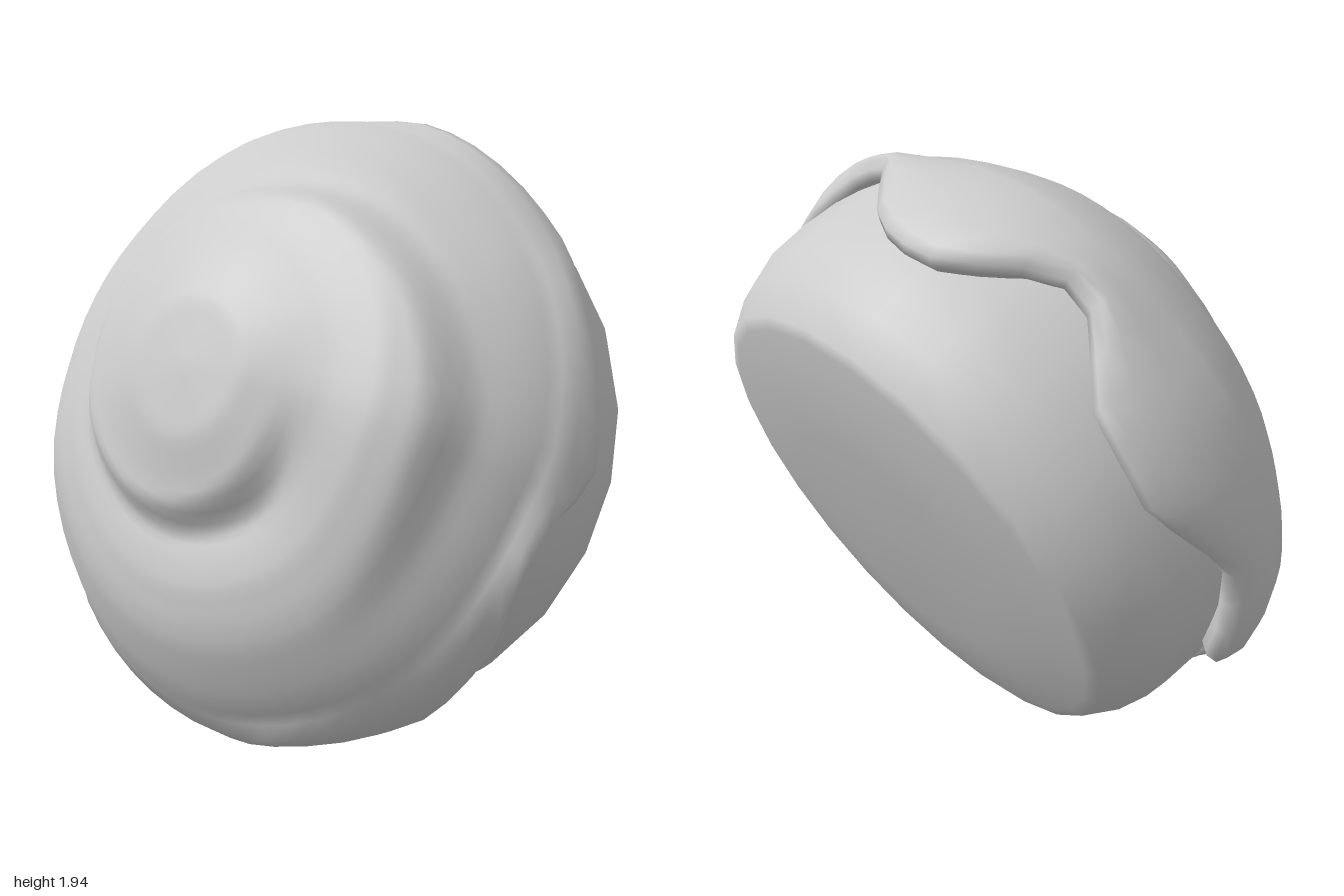
import * as THREE from 'three';

const SEG = 60;
const { lerp, smoothstep } = THREE.MathUtils;

// Interpolate through [position, value] pairs
function interp(points, t) {
  if (t <= points[0][0]) return points[0][1];
  for (let i = 1; i < points.length; i++) {
    const [a, va] = points[i - 1], [b, vb] = points[i];
    if (t <= b) return lerp(va, vb, (t - a) / (b - a));
  }
  return points[points.length - 1][1];
}

// Height of the wavy icing rim by angle in degrees
const RIM = [[0, -0.06], [10, -0.03], [20, 0], [29, 0.03], [41, -0.07], [55, 0], [64, 0.09], [77, 0.12],
  [90, -0.07], [99, -0.145], [110, -0.135], [124, 0.07], [131, 0.075], [145, -0.12], [163, -0.145], [185, 0.02],
  [205, -0.1], [218, 0], [228, 0.09], [245, 0], [258, -0.05], [268, -0.05], [276, 0.04], [284, 0.08], [291, 0],
  [298, -0.08], [306, -0.12], [325, -0.04], [337, 0.08], [345, 0.115], [356, -0.04], [360, -0.06]];

// Slightly uneven outline of the icing by angle
const OUTLINE = [[0, 0.995], [30, 0.99], [45, 0.98], [63, 0.99], [90, 1], [112, 1.025], [128, 1.02], [141, 1],
  [180, 0.995], [200, 1.02], [212, 1.01], [225, 1], [268, 1.015], [310, 1.005], [333, 0.975], [347, 0.97], [360, 0.995]];

// Dome height by radius, and radius of the swirl step by angle
const DOME = [[0, 0.65], [0.2, 0.64], [0.36, 0.585], [0.45, 0.56], [0.6, 0.535], [0.7, 0.49], [0.76, 0.45],
  [0.82, 0.39], [0.87, 0.335], [0.91, 0.285], [0.95, 0.22]];
const SWIRL = [[-45, 0.78], [0, 0.77], [35, 0.705], [80, 0.6], [121, 0.55], [172, 0.505], [257, 0.43], [334, 0.367]];

function swirlLift(deg, r) {
  const inside = (edge) => 1 - smoothstep(r, edge - 0.05, edge + 0.04);
  // The inner end fades out while the outer end fades in
  if (deg > 300) {
    const t = smoothstep(deg, 300, 360);
    return 0.085 * lerp(inside(interp(SWIRL, deg)), inside(interp(SWIRL, deg - 360)), t);
  }
  return 0.085 * inside(interp(SWIRL, deg));
}

// Dome surface, leaning a little to one side and upwards at the crown
function domeHeight(deg, r) {
  const a = THREE.MathUtils.degToRad(deg);
  const lean = 0.015 + 0.075 * (1 - smoothstep(r, 0.3, 0.55));
  return interp(DOME, r) + swirlLift(deg, r) + r * (lean * Math.sin(a) - 0.035 * Math.cos(a));
}

// Icing cap: rings from the tucked-under rim up to the crown
function icingGeometry() {
  const rings = 36, positions = [], index = [];
  const sections = [];
  for (let s = 0; s < SEG; s++) {
    const deg = s * 360 / SEG, rim = interp(RIM, deg);
    const section = [[0.86, rim + 0.06], [0.94, rim + 0.005], [0.975, rim + 0.01], [0.99, rim + 0.045],
      [1.005, rim * 0.6 + 0.085], [0.99, rim * 0.25 + 0.16]];
    for (let i = 0; i < rings; i++) {
      const r = 0.95 * (1 - i / rings);
      section.push([r, domeHeight(deg, r)]);
    }
    sections.push(section);
  }
  const count = sections[0].length;
  for (let k = 0; k < count; k++) {
    for (let s = 0; s < SEG; s++) {
      const a = s / SEG * Math.PI * 2, [r, h] = sections[s][k];
      const wide = r * interp(OUTLINE, s * 360 / SEG);
      positions.push(wide * Math.cos(a), wide * Math.sin(a) * 1.035 - 0.01, h);
      if (k < count - 1) {
        const p = k * SEG + s, q = k * SEG + (s + 1) % SEG;
        index.push(p, q, q + SEG, p, q + SEG, p + SEG);
      }
    }
  }
  // Crown point
  const top = positions.length / 3, last = (count - 1) * SEG;
  positions.push(0, -0.01, 0.735);
  for (let s = 0; s < SEG; s++) index.push(last + s, last + (s + 1) % SEG, top);
  const geometry = new THREE.BufferGeometry();
  geometry.setAttribute('position', new THREE.Float32BufferAttribute(positions, 3));
  geometry.setIndex(index);
  geometry.computeVertexNormals();
  return geometry;
}

export function createModel() {
  const model = new THREE.Group();
  model.name = 'icedBun';
  const grey = new THREE.MeshStandardMaterial({ color: 0xcccccc });
  grey.name = 'pale grey';

  // Round dough base with a gently domed underside
  const profile = [[0, -0.5], [0.42, -0.496], [0.64, -0.468], [0.79, -0.44], [0.83, -0.425], [0.9, -0.32],
    [0.935, -0.22], [0.945, -0.08], [0.94, 0.1], [0.93, 0.18], [0.8, 0.24], [0, 0.3]]
    .map(([r, h]) => new THREE.Vector2(r, h));
  const dough = new THREE.Mesh(new THREE.LatheGeometry(profile, 24).rotateX(Math.PI / 2), grey);
  dough.name = 'dough';
  dough.position.y = 0.008;

  // Swirled icing with a wavy dripping rim
  const icing = new THREE.Mesh(icingGeometry(), grey);
  icing.name = 'icing';

  // The whole bun leans back
  const bun = new THREE.Group();
  bun.name = 'bun';
  bun.add(dough, icing);
  bun.rotation.x = -0.417;
  bun.position.y = 0.97;
  model.add(bun);
  return model;
}
